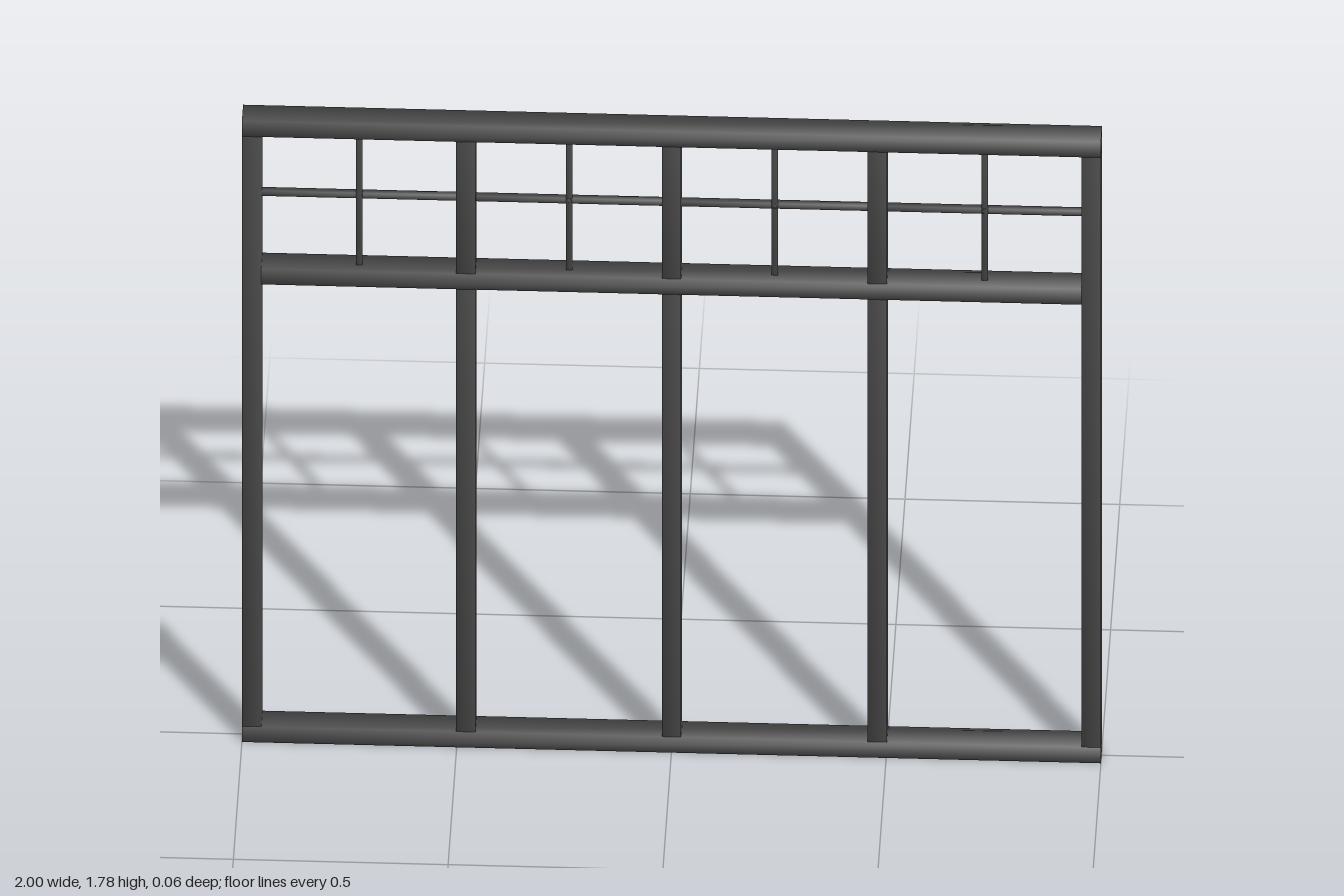
import * as THREE from 'three';

const HEIGHT = 1.78, BAR = 0.045, DEPTH = 0.064, THIN = 0.015;
const TRANSOM_Y = 1.335, MUNTIN_Y = 1.556;
const POSTS = [-0.9775, -0.479, 0, 0.479, 0.9775];

// Box whose normals blend softly around its long axis
function softBox(w, h, d) {
  const geometry = new THREE.BoxGeometry(w, h, d);
  const p = geometry.attributes.position, n = geometry.attributes.normal;
  const along = w > h ? 'x' : 'y';
  for (let i = 0; i < p.count; i++) {
    const v = new THREE.Vector3(Math.sign(p.getX(i)), Math.sign(p.getY(i)), Math.sign(p.getZ(i)));
    v[along] *= 0.3;
    v.normalize();
    n.setXYZ(i, v.x, v.y, v.z);
  }
  return geometry;
}

export function createModel() {
  const model = new THREE.Group();
  model.name = 'windowFrame';
  const charcoal = new THREE.MeshStandardMaterial({ color: 0x4a4a4a });
  charcoal.name = 'charcoal';

  const bar = (name, x, y, w, h, d) => {
    const mesh = new THREE.Mesh(softBox(w, h, d), charcoal);
    mesh.name = name;
    mesh.position.set(x, y, 0);
    model.add(mesh);
  };

  // Full-width rails, with the transom between the end posts
  bar('bottomRail', 0, BAR / 2, 2, BAR, DEPTH);
  bar('topRail', 0, HEIGHT - BAR / 2, 2, BAR, DEPTH);
  bar('transomRail', 0, TRANSOM_Y, 2 - 2 * BAR, BAR, DEPTH);

  // Upright posts: outer ones run unbroken, inner ones stop at the transom
  const bottom = BAR, top = HEIGHT - BAR;
  const post = (name, x, y0, y1) => bar(name, x, (y0 + y1) / 2, BAR, y1 - y0, DEPTH);
  POSTS.forEach((x, i) => {
    if (i === 0 || i === POSTS.length - 1) {
      post('endPost', x, bottom, top);
    } else {
      post('lowerPost', x, bottom, TRANSOM_Y - BAR / 2);
      post('upperPost', x, TRANSOM_Y + BAR / 2, top);
    }
  });

  // Thin glazing bars crossing each upper pane
  const paneBottom = TRANSOM_Y + BAR / 2;
  for (let i = 0; i < POSTS.length - 1; i++) {
    const x = (POSTS[i] + POSTS[i + 1]) / 2;
    const width = POSTS[i + 1] - POSTS[i] - BAR;
    bar('uprightGlazingBar', x, (paneBottom + top) / 2, THIN, top - paneBottom, THIN);
    bar('crossGlazingBar', x, MUNTIN_Y, width, THIN, THIN);
  }
  return model;
}
